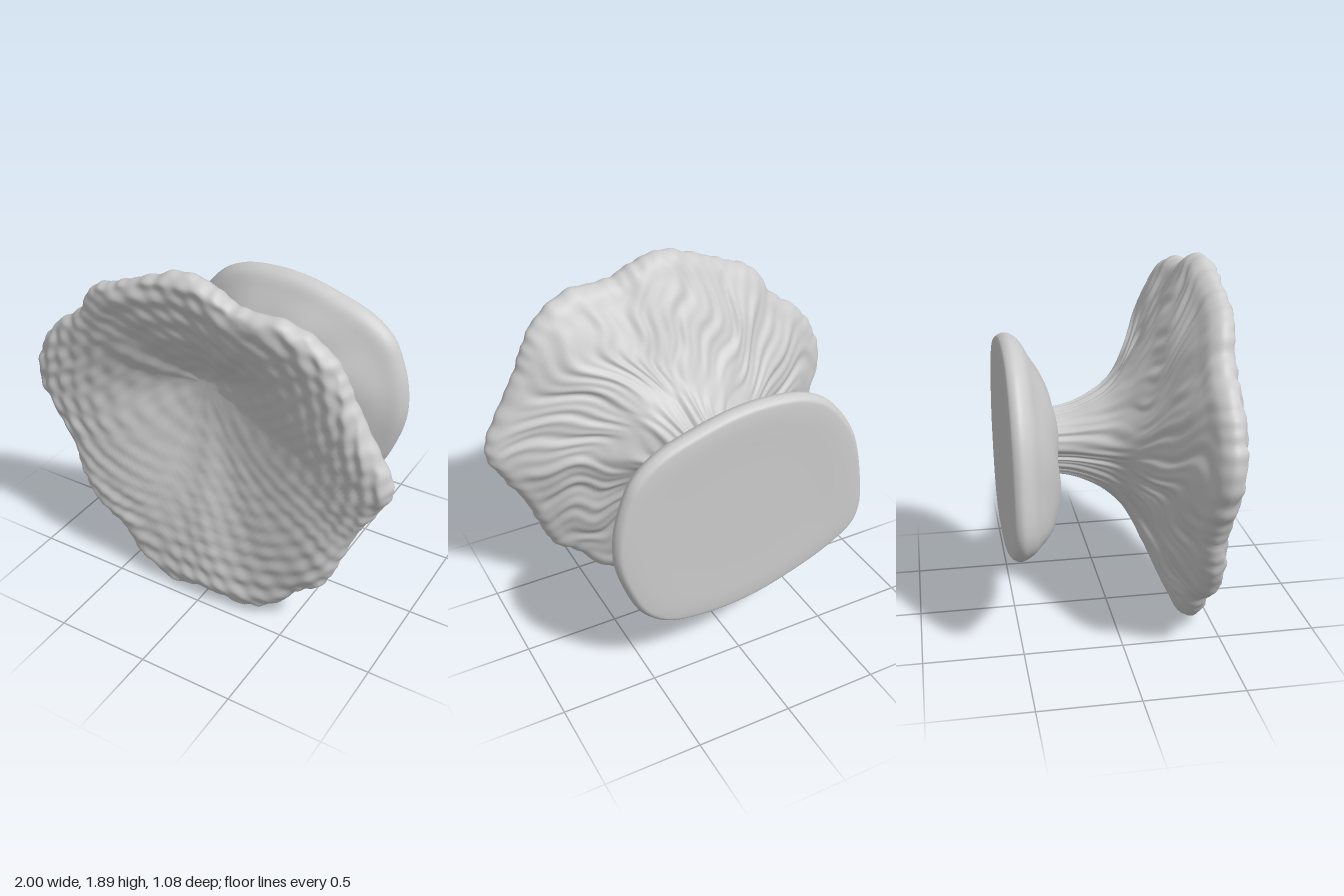
import * as THREE from 'three';

const closedCurve = pts => new THREE.CatmullRomCurve3(pts.map(([x, y]) => new THREE.Vector3(x, y, 0)), true);
const openCurve = pts => new THREE.CatmullRomCurve3(pts.map(([f, z]) => new THREE.Vector3(f, z, 0)));
const smooth = THREE.MathUtils.smoothstep;

// Sweep a profile (fraction of the outline, z) around a closed outline; place() gives each vertex
function sweep(outline, profile, rings, segs, place) {
  const pos = [], idx = [];
  const rim = Array.from({ length: segs }, (_, j) => outline.getPoint(j / segs));
  for (let i = 0; i <= rings; i++) {
    const t = i / rings, p = profile.getPoint(t);
    for (let j = 0; j < segs; j++) pos.push(...place(rim[j], Math.max(p.x, 0), p.y, t));
  }
  for (let i = 0; i < rings; i++) for (let j = 0; j < segs; j++) {
    const k = (j + 1) % segs, a = i * segs + j, b = i * segs + k;
    idx.push(a, b, a + segs, b, b + segs, a + segs);
  }
  const g = new THREE.BufferGeometry();
  g.setAttribute('position', new THREE.Float32BufferAttribute(pos, 3));
  g.setIndex(idx);
  g.computeVertexNormals();
  return g;
}

export function createModel() {
  const group = new THREE.Group();
  const mat = new THREE.MeshStandardMaterial({ color: 0xcccccc });
  const add = (name, geo) => {
    const m = new THREE.Mesh(geo, mat);
    m.name = name;
    group.add(m);
  };

  // Funnel cap and stem: wavy outline, profile from the stem out to the rim and into the bowl
  const capOutline = closedCurve([
    [1, 1.02], [0.97, 1.12], [0.87, 1.3], [0.78, 1.47], [0.72, 1.6], [0.6, 1.72], [0.45, 1.78], [0.3, 1.78],
    [0.2, 1.8], [0.1, 1.85], [-0.05, 1.885], [-0.2, 1.84], [-0.4, 1.76], [-0.58, 1.68], [-0.68, 1.53],
    [-0.85, 1.4], [-0.95, 1.26], [-1, 1.08], [-0.95, 0.9], [-0.85, 0.72], [-0.77, 0.5], [-0.65, 0.32],
    [-0.52, 0.24], [-0.42, 0.1], [-0.22, 0], [0, 0.035], [0.25, 0.015], [0.42, 0.09], [0.55, 0.24],
    [0.68, 0.34], [0.76, 0.52], [0.83, 0.7], [0.92, 0.85]]);
  const capProfile = openCurve([
    [0.17, -0.32], [0.19, -0.2], [0.23, -0.1], [0.285, -0.01], [0.37, 0.065], [0.5, 0.14], [0.62, 0.195],
    [0.76, 0.25], [0.88, 0.305], [0.97, 0.35], [1, 0.4], [0.98, 0.45], [0.92, 0.472], [0.82, 0.463],
    [0.68, 0.438], [0.52, 0.395], [0.36, 0.338], [0.2, 0.287], [0.08, 0.265], [0, 0.262]]);
  const rimT = 10 / 19;
  add('capAndStem', sweep(capOutline, capProfile, 140, 400, (o, f, z, t) => {
    const front = smooth(t, rimT, rimT + 0.08), inner = front * (1 - f);
    const cx = -0.08 * inner, cy = 0.945 + 0.25 * inner;
    const a = Math.atan2(o.y - 0.945, o.x);
    // Wandering, branching radial folds on the underside and stem
    const warp = a + 0.1 * Math.sin(7 * f + 3 * a) + 0.035 * Math.sin(19 * f + 8 * a);
    const fold = Math.sin(13 * warp) * 0.5 + Math.sin(31 * warp + 1.3) * 0.45
      + Math.sin(57 * warp + 5 * f) * 0.35 * smooth(f, 0.3, 0.6);
    const back = (1 - front) * smooth(1.02 - f, 0, 0.2);
    const edge = smooth(f, 0.9, 1) * (Math.sin(67 * a + 2 * Math.sin(9 * a)) + Math.sin(41 * a + 1));
    const s = f * (1 + 0.045 * fold * back * (1 - smooth(f, 0.2, 0.6))) + 0.003 * edge;
    const x = cx + (o.x - cx) * s, y = cy + (o.y - cy) * s;
    // Fine pebbled ripples in the bowl, stronger towards the rim
    const d = Math.hypot(x + 0.08, y - 1.2);
    const bumps = 0.6 * Math.sin(72 * d + 3 * Math.sin(5 * x + 2) + 3 * Math.sin(6 * y))
      + 0.5 * Math.sin(47 * x + 3 * Math.sin(8 * y)) * Math.sin(53 * y + 3 * Math.sin(7 * x))
      + 0.4 * Math.sin(23 * x + 2 * Math.sin(11 * y)) * Math.sin(27 * y);
    const lean = f * f * (0.036 * Math.sin(a) - 0.026 * Math.cos(2 * a) + 0.01 * Math.sin(7 * a) - 0.01 * Math.cos(a));
    return [x, y, z + lean + 0.011 * fold * back * smooth(f, 0.25, 0.5)
      + 0.005 * bumps * front * smooth(f, 0, 0.2) * (0.5 + 1.5 * f * f)];
  }));

  // Flat-backed mounting foot: a rounded plate with a low domed front, fuller at the bottom
  const footOutline = closedCurve([
    [0.69, 0.83], [0.685, 1.0], [0.64, 1.16], [0.585, 1.27], [0.465, 1.37], [0.254, 1.45], [0.077, 1.495],
    [-0.1, 1.51], [-0.31, 1.485], [-0.45, 1.41], [-0.606, 1.2], [-0.676, 0.93], [-0.69, 0.71], [-0.648, 0.61],
    [-0.52, 0.52], [-0.38, 0.455], [-0.134, 0.375], [0.042, 0.345], [0.254, 0.345], [0.43, 0.38],
    [0.556, 0.476], [0.64, 0.645]]);
  const footProfile = openCurve([
    [0, -0.545], [0.5, -0.545], [0.92, -0.545], [0.975, -0.535], [1, -0.5], [0.965, -0.45], [0.86, -0.4],
    [0.74, -0.35], [0.62, -0.312], [0.48, -0.285], [0.25, -0.28], [0, -0.28]]);
  add('foot', sweep(footOutline, footProfile, 66, 160, (o, f, z, t) => {
    const a = Math.atan2(o.y - 0.93, o.x);
    const soft = smooth(t, 0.4, 0.65) * smooth(f, 0, 0.4);
    const s = f * (1 + 0.05 * soft * (1 - f) * Math.sin(5 * a + 1));
    const drop = 0.14 * smooth(t, 0.36, 0.6) * (1 - f);
    return [o.x * s, 0.93 + (o.y - 0.93) * s - drop, z + 0.006 * soft * Math.sin(7 * a + 8 * f)];
  }));
  return group;
}
